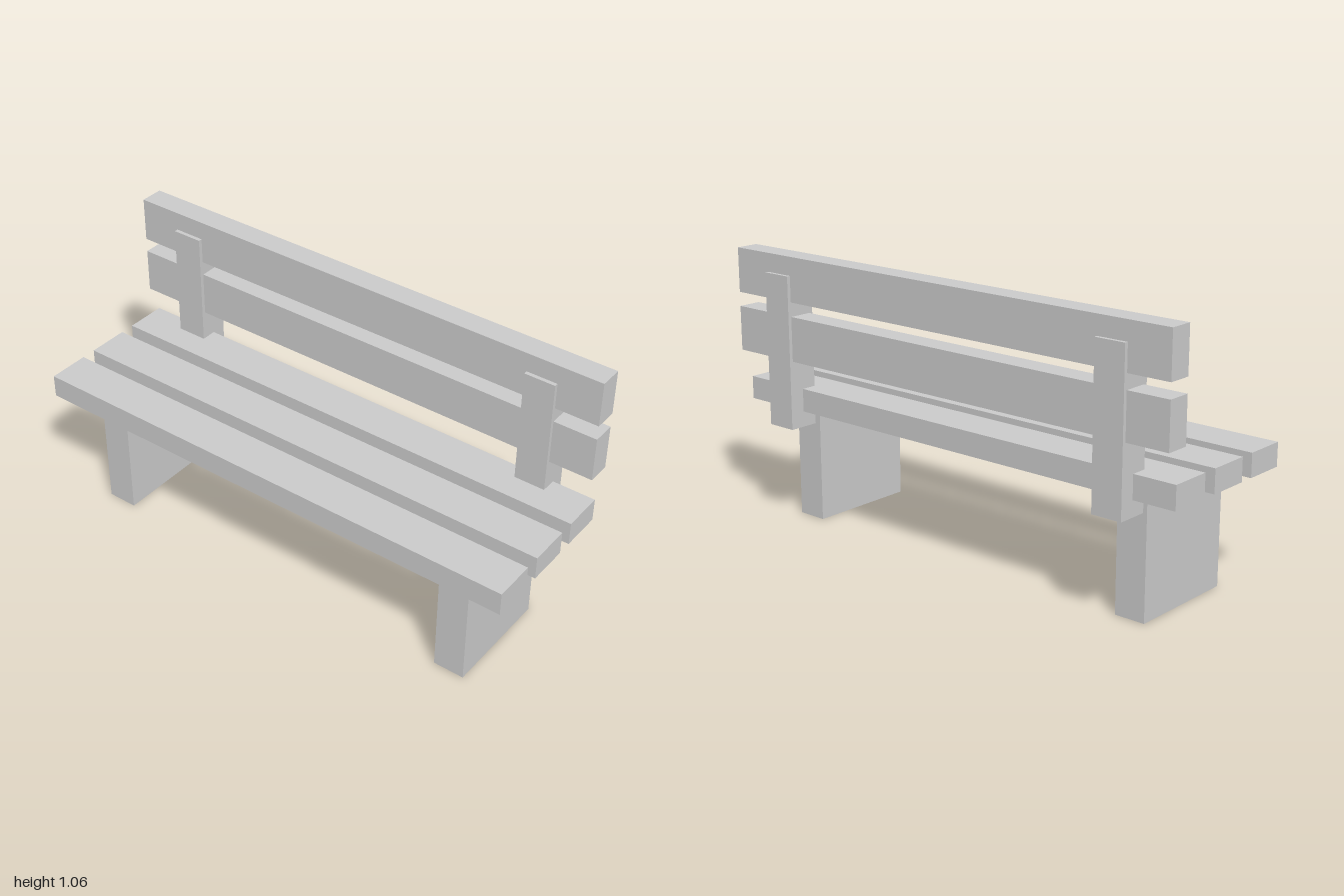
import * as THREE from 'three';

const material = new THREE.MeshStandardMaterial({ color: 0xcccccc, flatShading: true });

// Box spanning the given [min, max] ranges
function block(name, [x0, x1], [y0, y1], [z0, z1]) {
  const mesh = new THREE.Mesh(new THREE.BoxGeometry(x1 - x0, y1 - y0, z1 - z0), material);
  mesh.name = name;
  mesh.position.set((x0 + x1) / 2, (y0 + y1) / 2, (z0 + z1) / 2);
  return mesh;
}

export function createModel() {
  const bench = new THREE.Group();
  bench.name = 'bench';

  // Three seat planks, front to back
  ['front', 'middle', 'rear'].forEach((place, i) => {
    const z = 0.249 - i * 0.219;
    bench.add(block(`${place}SeatPlank`, [-1, 1], [0.457, 0.546], [z - 0.081, z + 0.081]));
  });

  // Two backrest planks
  [['lower', 0.661], ['upper', 0.888]].forEach(([place, y]) => {
    bench.add(block(`${place}BackPlank`, [-1, 1], [y, y + 0.172], [-0.316, -0.225]));
  });

  // Slab leg and backrest post on each side
  [['left', 1], ['right', -1]].forEach(([side, s]) => {
    const x = [s * 0.773 - 0.06, s * 0.773 + 0.06];
    bench.add(block(`${side}Leg`, x, [0, 0.474], [-0.188, 0.249]));
    bench.add(block(`${side}BackPost`, x, [0.397, 0.988], [-0.33, -0.21]));
  });

  return bench;
}
